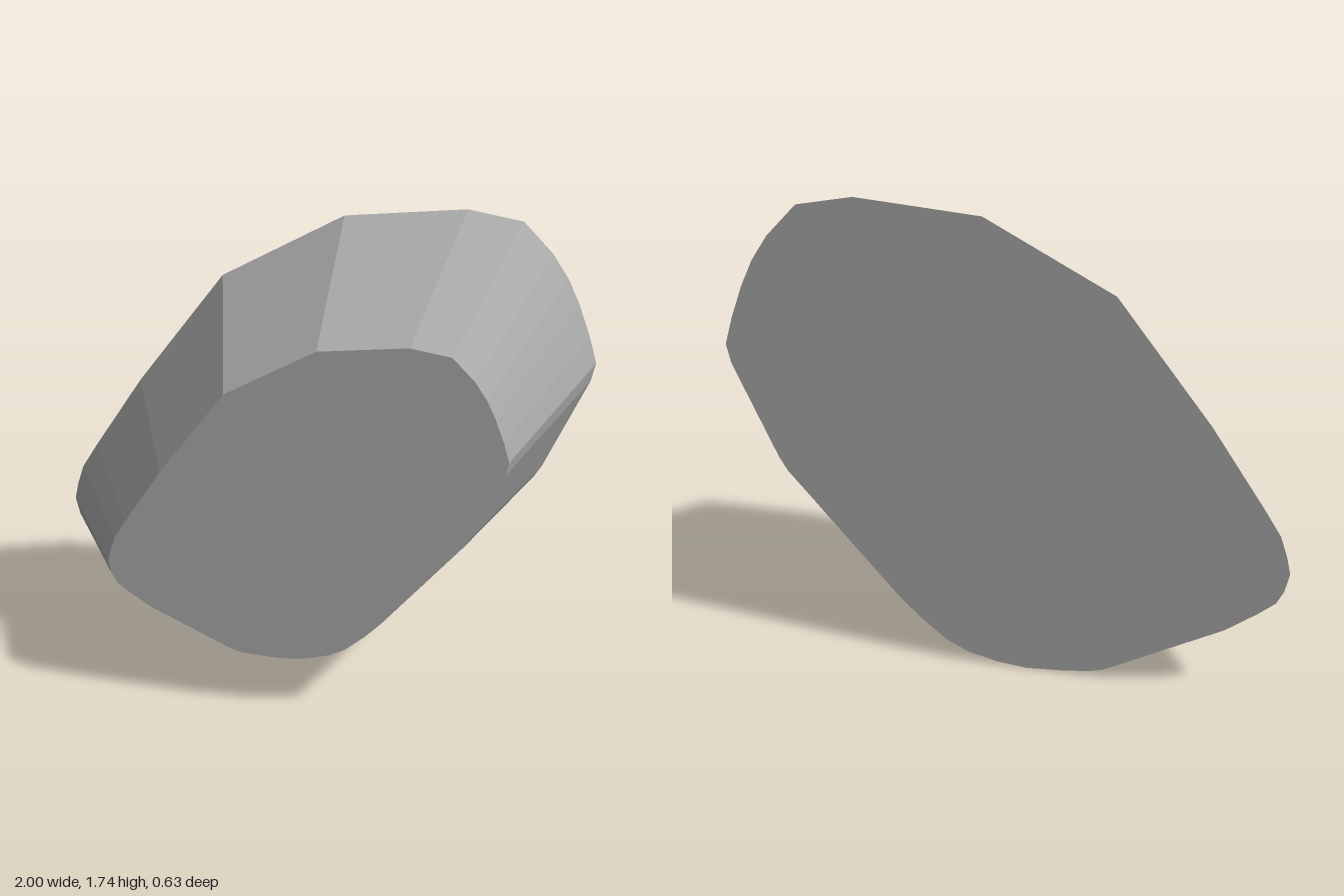
import * as THREE from 'three';

// Outline of the wide back face
const OUTLINE = [
  [0.51, 1.738], [0.07, 1.7], [-0.38, 1.46], [-0.71, 1.03], [-0.9, 0.745], [-0.96, 0.65],
  [-0.985, 0.575], [-1, 0.51], [-0.985, 0.44], [-0.96, 0.39], [-0.9, 0.34], [-0.79, 0.26],
  [-0.4, 0.055], [-0.36, 0.035], [-0.31, 0.022], [-0.2, 0.01], [-0.08, 0.003], [0.03, 0.015],
  [0.14, 0.042], [0.22, 0.082], [0.32, 0.165], [0.4, 0.245], [0.8, 0.71], [0.83, 0.76],
  [0.985, 1.11], [1, 1.18], [0.97, 1.28], [0.925, 1.4], [0.88, 1.495], [0.82, 1.585], [0.71, 1.7],
];
const DEPTH = 0.63;
const TAPER = 0.7;      // front face size relative to the back
const CENTRE_Y = 0.733; // height the taper shrinks towards

export function createModel() {
  const group = new THREE.Group();
  group.name = 'taperedStone';
  const stone = new THREE.MeshStandardMaterial({ color: 0xaaaaaa, flatShading: true });
  stone.name = 'stone grey';

  // Extrude the outline, then shrink its front face into a frustum
  const shape = new THREE.Shape(OUTLINE.map(([x, y]) => new THREE.Vector2(x, y)));
  const geometry = new THREE.ExtrudeGeometry(shape, { depth: DEPTH, bevelEnabled: false });
  geometry.translate(0, 0, -DEPTH / 2);
  const p = geometry.attributes.position;
  for (let i = 0; i < p.count; i++) {
    if (p.getZ(i) > 0) {
      p.setX(i, p.getX(i) * TAPER);
      p.setY(i, CENTRE_Y + (p.getY(i) - CENTRE_Y) * TAPER);
    }
  }
  geometry.computeVertexNormals();

  const body = new THREE.Mesh(geometry, stone);
  body.name = 'stoneBody';
  group.add(body);
  return group;
}
